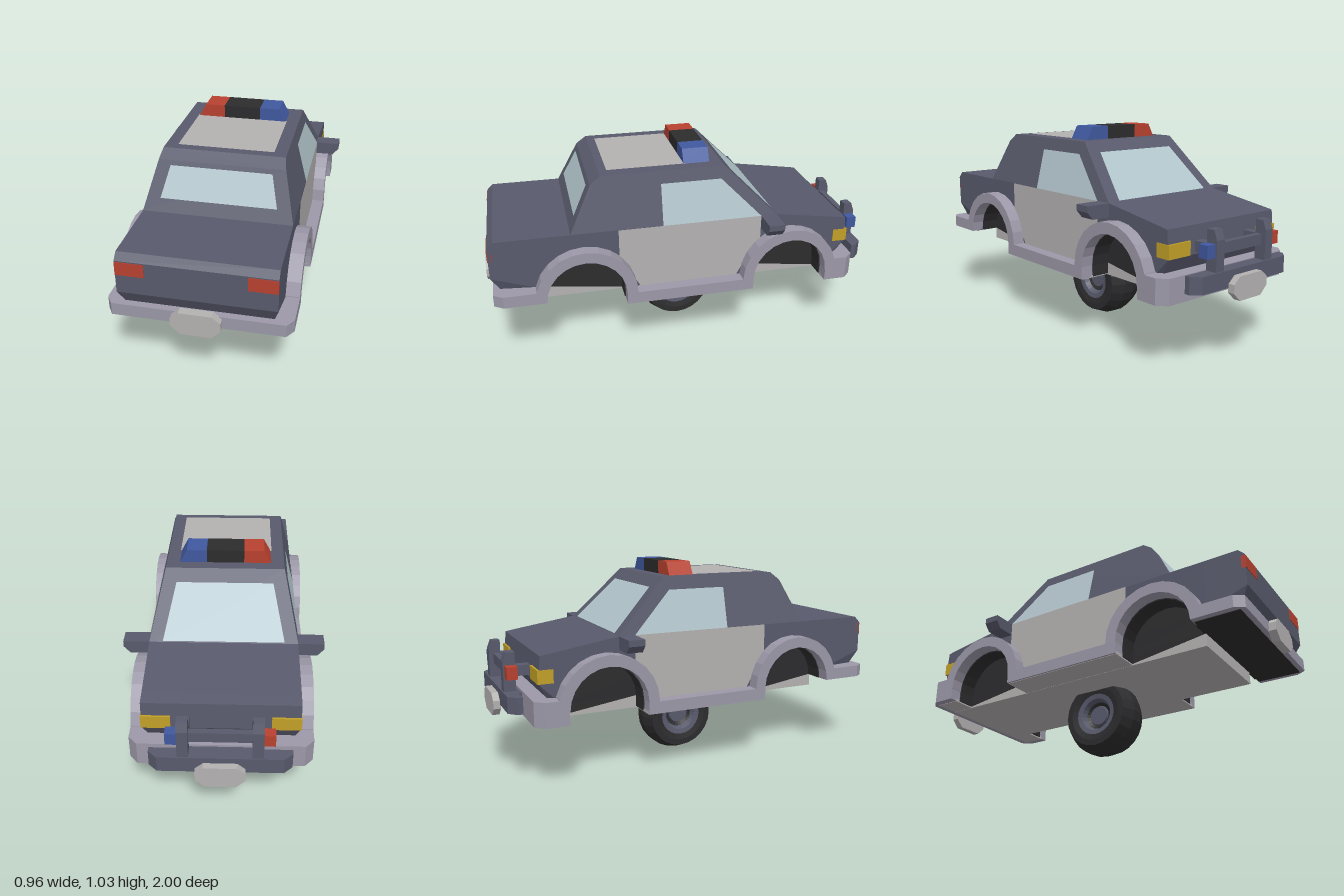
import * as THREE from 'three';
import { ConvexGeometry } from 'three/addons/geometries/ConvexGeometry.js';

const BODY = 0x585a6c, TRIM = 0x9c98a8, DARK = 0x2c2c2e, GREY = 0xb4b1b1;
const GLASS = 0xb2c5cc, RED = 0xb8412f, BLUE = 0x40589f, YELLOW = 0xc2a028;
const ARCH_Z = 0.52, ARCH_Y = 0.39, ARCH_R = 0.195;

export function createModel() {
  const model = new THREE.Group();

  const add = (name, geometry, color, side = THREE.FrontSide) => {
    const material = new THREE.MeshStandardMaterial({ color, flatShading: true, side });
    const mesh = new THREE.Mesh(geometry, material);
    mesh.name = name;
    model.add(mesh);
    return mesh;
  };
  // Box given by its limits
  const box = (name, color, x0, x1, y0, y1, z0, z1) => {
    const g = new THREE.BoxGeometry(Math.abs(x1 - x0), y1 - y0, z1 - z0);
    g.translate((x0 + x1) / 2, (y0 + y1) / 2, (z0 + z1) / 2);
    return add(name, g, color);
  };
  const poly = (pts) => new THREE.Shape(pts.map(([a, b]) => new THREE.Vector2(a, b)));
  const extrude = (shape, depth) =>
    new THREE.ExtrudeGeometry(shape, { depth, bevelEnabled: false, curveSegments: 6 });
  // Side profile (z, y) extruded from x0 to x1
  const sideways = (name, color, shape, x0, x1) =>
    add(name, extrude(shape, x1 - x0).rotateY(-Math.PI / 2).translate(x1, 0, 0), color);
  // Plan outline (x, z) extruded from y0 to y1
  const upright = (name, color, pts, y0, y1) =>
    add(name, extrude(poly(pts), y1 - y0).rotateX(Math.PI / 2).translate(0, y1, 0), color);
  // Front outline (x, y) extruded from z0 to z1
  const lengthways = (name, color, pts, z0, z1) =>
    add(name, extrude(poly(pts), z1 - z0).translate(0, 0, z0), color);
  // Convex block from half cross-section points, mirrored in x
  const block = (name, color, pts) =>
    add(name, new ConvexGeometry(pts.flatMap(([x, y, z]) =>
      [new THREE.Vector3(x, y, z), new THREE.Vector3(-x, y, z)])), color);
  // Thin flat panel from a convex outline
  const panel = (name, color, pts) => {
    const g = new THREE.BufferGeometry();
    g.setAttribute('position', new THREE.Float32BufferAttribute(pts.flat(), 3));
    g.setIndex(pts.slice(2).flatMap((_, i) => [0, i + 1, i + 2]));
    g.computeVertexNormals();
    return add(name, g, color, THREE.DoubleSide);
  };

  // Main body with wheel arches cut out
  const body = poly([[0.77, 0.71], [-0.45, 0.71], [-0.77, 0.66], [-0.77, 0.34], [-ARCH_Z - ARCH_R, 0.34]]);
  body.autoClose = false;
  body.absarc(-ARCH_Z, ARCH_Y, ARCH_R, Math.PI, 0, true);
  body.lineTo(-ARCH_Z + ARCH_R, 0.34);
  body.lineTo(ARCH_Z - ARCH_R, 0.34);
  body.absarc(ARCH_Z, ARCH_Y, ARCH_R, Math.PI, 0, true);
  body.lineTo(0.77, 0.4);
  body.closePath();
  sideways('body', BODY, body, -0.355, 0.355);
  const W = 0.355, N = 0.335;
  block('tail', BODY, [[W, 0.71, 0.77], [W, 0.45, 0.77], [W, 0.71, 0.94], [W, 0.68, 0.97],
    [W, 0.52, 0.97], [N, 0.45, 0.93]]);
  block('nose', BODY, [[W, 0.66, -0.77], [W, 0.45, -0.77], [W, 0.65, -0.83], [W, 0.52, -0.84],
    [N, 0.45, -0.8]]);

  // Tapered cabin and its glass
  const cabinX = (y) => 0.355 - (y - 0.71) * 0.25;
  const frontZ = (y) => -0.45 + (y - 0.71);
  const rearZ = (y) => 0.58 - (y - 0.71) * 0.5;
  block('cabin', BODY, [[W, 0.71, 0.58], [W, 0.71, -0.45], [cabinX(0.93), 0.93, rearZ(0.93)],
    [cabinX(0.97), 0.97, 0.42], [cabinX(0.97), 0.97, frontZ(0.97)]]);
  const e = 0.003;
  panel('windshield', GLASS, [[0.29, 0.715, frontZ(0.715) - e], [-0.29, 0.715, frontZ(0.715) - e],
    [-0.235, 0.92, frontZ(0.92) - e], [0.235, 0.92, frontZ(0.92) - e]]);
  panel('rearWindow', GLASS, [[-0.275, 0.77, rearZ(0.77) + e], [0.275, 0.77, rearZ(0.77) + e],
    [0.24, 0.91, rearZ(0.91) + e], [-0.24, 0.91, rearZ(0.91) + e]]);
  panel('roofPanel', GREY, [[-0.23, 0.97 + e, 0.38], [0.23, 0.97 + e, 0.38],
    [0.23, 0.97 + e, -0.01], [-0.23, 0.97 + e, -0.01]]);

  // Mirrored side parts
  for (const s of [1, -1]) {
    const tag = s > 0 ? 'left' : 'right';
    const outward = (pts) => (s > 0 ? pts : pts.reverse());
    const span = (a, b) => (s > 0 ? [a, b] : [-b, -a]);

    panel(tag + 'SideWindow', GLASS, outward([[0.13, 0.71], [-0.37, 0.71], [-0.17, 0.91], [0.13, 0.91]]
      .map(([z, y]) => [s * (cabinX(y) + e), y, z])));
    panel(tag + 'Door', GREY, outward([[0.25, 0.39], [-0.25, 0.39], [-0.29, 0.46], [-0.37, 0.57],
      [-0.37, 0.71], [0.35, 0.71], [0.35, 0.57], [0.29, 0.46]].map(([z, y]) => [s * (W + e), y, z])));
    box(tag + 'Sill', TRIM, s * 0.35, s * 0.42, 0.33, 0.39, -0.325, 0.325);

    for (const c of [ARCH_Z, -ARCH_Z]) {
      const end = c > 0 ? 'Tail' : 'Nose';
      const arch = new THREE.Shape();
      arch.absarc(c, ARCH_Y, 0.25, 0, Math.PI, false);
      arch.absarc(c, ARCH_Y, ARCH_R, Math.PI, 0, true);
      sideways(tag + end + 'Arch', TRIM, arch, ...span(0.35, 0.42));

      const liner = new THREE.Shape();
      const foot = c > 0 ? ARCH_Y : 0.335;
      liner.moveTo(c + 0.2, foot - 0.001);
      liner.absarc(c, ARCH_Y, 0.2, 0, Math.PI, false);
      liner.lineTo(c - 0.2, 0.335);
      liner.lineTo(c - 0.19, 0.335);
      liner.absarc(c, ARCH_Y, 0.19, Math.PI, 0, true);
      liner.lineTo(c + 0.19, foot - 0.001);
      sideways(tag + end + 'WheelWell', DARK, liner, ...span(0.25, 0.354));
    }

    // Wing mirror, lamps
    lengthways(tag + 'Mirror', BODY, outward([[0.34, 0.645], [0.45, 0.645], [0.48, 0.68], [0.48, 0.71],
      [0.34, 0.71]].map(([x, y]) => [s * x, y])), -0.45, -0.37);
    box(tag + 'TailLamp', RED, s * 0.225, s * 0.355, 0.61, 0.675, 0.95, 0.973);
    box(tag + 'HeadLamp', YELLOW, s * 0.225, s * 0.358, 0.52, 0.585, -0.845, -0.77);

    // Roof beacon
    lengthways(tag + 'Beacon', s > 0 ? BLUE : RED, outward([[0.092, 0.97], [0.225, 0.97], [0.19, 1.035],
      [0.092, 1.035]].map(([x, y]) => [s * x, y])), -0.13, 0);

    // Push bar upright, bracket and small flasher
    sideways(tag + 'PushBarPost', BODY, poly([[-0.905, 0.38], [-0.905, 0.645], [-0.945, 0.645],
      [-0.962, 0.6], [-0.962, 0.38]]), ...span(0.14, 0.19));
    box(tag + 'PushBarBracket', BODY, s * 0.14, s * 0.19, 0.53, 0.58, -0.91, -0.82);
    box(tag + 'Flasher', s > 0 ? BLUE : RED, s * 0.185, s * 0.24, 0.525, 0.585, -0.955, -0.905);
  }
  box('beaconBase', DARK, -0.092, 0.092, 0.97, 1.035, -0.13, 0);

  // Dark cores between the wheel wells
  for (const c of [ARCH_Z, -ARCH_Z]) {
    const core = new THREE.Shape();
    core.moveTo(c + ARCH_R, 0.335);
    core.absarc(c, ARCH_Y, ARCH_R, 0, Math.PI, false);
    core.lineTo(c - ARCH_R, 0.335);
    sideways('wheelWellCore', DARK, core, -0.262, 0.262);
  }

  // Bumpers with chamfered corners
  upright('noseBumper', TRIM, [[-0.42, -0.717], [-0.42, -0.83], [-0.38, -0.873], [0.38, -0.873],
    [0.42, -0.83], [0.42, -0.717]], 0.33, 0.45);
  upright('tailBumper', TRIM, [[-0.42, 0.717], [0.42, 0.717], [0.42, 0.92], [0.39, 0.965],
    [-0.39, 0.965], [-0.42, 0.92]], 0.39, 0.45);

  // Underside
  box('floor', GREY, -0.26, 0.26, 0.327, 0.39, -0.84, 0.718);
  box('floorMiddle', GREY, -0.41, 0.41, 0.328, 0.345, -0.325, 0.325);
  box('floorNose', GREY, -0.38, 0.38, 0.328, 0.345, -0.84, -0.717);
  box('tailUndertray', DARK, -0.39, 0.39, 0.387, 0.4, 0.72, 0.94);

  // Push bar crossbars
  upright('pushBarLower', BODY, [[-0.32, -0.905], [-0.32, -0.93], [-0.28, -0.968], [0.28, -0.968],
    [0.32, -0.93], [0.32, -0.905]], 0.38, 0.46);
  box('pushBarUpper', BODY, -0.19, 0.19, 0.53, 0.58, -0.94, -0.91);
  box('pushBarMount', BODY, -0.16, 0.16, 0.39, 0.44, -0.91, -0.86);

  // Blank plates
  const plate = (name, y0, z0, z1) => lengthways(name, GREY, [[-0.07, y0], [0.07, y0], [0.112, y0 + 0.04],
    [0.112, y0 + 0.08], [0.075, y0 + 0.112], [-0.075, y0 + 0.112], [-0.112, y0 + 0.08],
    [-0.112, y0 + 0.04]], z0, z1);
  plate('nosePlate', 0.32, -1, -0.965);
  plate('tailPlate', 0.358, 0.96, 1);

  // Single wheel under the middle
  const turned = (name, color, pts) => add(name, new THREE.LatheGeometry(
    pts.map(([r, x]) => new THREE.Vector2(r, x)), 24).rotateZ(-Math.PI / 2).translate(0, 0.2, 0),
    color, THREE.DoubleSide);
  turned('tyre', DARK, [[0.11, -0.09], [0.14, -0.097], [0.17, -0.097], [0.198, -0.03], [0.198, 0.03],
    [0.17, 0.097], [0.14, 0.097], [0.11, 0.09]]);
  for (const s of [1, -1]) {
    turned('rim', BODY, [[0.112, 0.09 * s], [0.085, 0.085 * s], [0.072, 0.06 * s]]);
    turned('rimGroove', DARK, [[0.072, 0.06 * s], [0.055, 0.05 * s]]);
    turned('hub', BODY, [[0.055, 0.05 * s], [0.05, 0.06 * s], [0, 0.06 * s]]);
  }
  return model;
}
